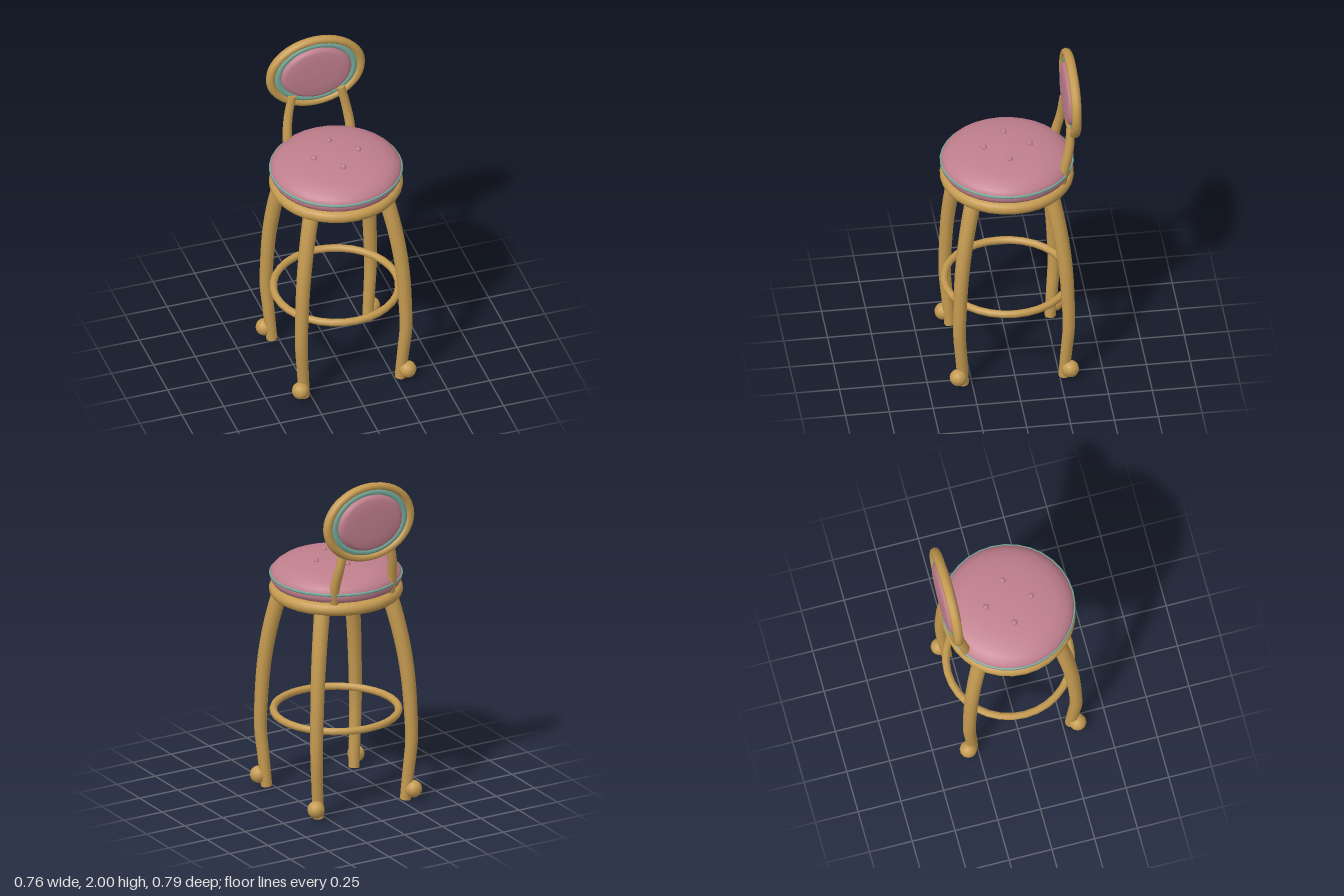
import * as THREE from 'three';

const mat = (name, color) => {
  const m = new THREE.MeshStandardMaterial({ color });
  m.name = name;
  return m;
};
const v2 = (list) => list.map(([x, y]) => new THREE.Vector2(x, y));

// Capped tube along a smooth path, its radius changing evenly from r0 to r1
function taperedTube(name, points, r0, r1, sides, material) {
  const curve = new THREE.CatmullRomCurve3(points.map((p) => new THREE.Vector3(...p)));
  const steps = 20;
  const geo = new THREE.TubeGeometry(curve, steps, 1, sides);
  const pos = geo.attributes.position;
  const p = new THREE.Vector3();
  for (let i = 0; i < pos.count; i++) {
    const t = Math.floor(i / (sides + 1)) / steps;
    const c = curve.getPointAt(t);
    p.fromBufferAttribute(pos, i).sub(c).multiplyScalar(r0 + (r1 - r0) * t).add(c);
    pos.setXYZ(i, p.x, p.y, p.z);
  }
  const group = new THREE.Group();
  group.name = name;
  group.add(new THREE.Mesh(geo, material));
  [[0, r0, -1], [1, r1, 1]].forEach(([t, r, dir]) => {
    const cap = new THREE.Mesh(new THREE.CircleGeometry(r, sides), material);
    cap.position.copy(curve.getPointAt(t));
    cap.lookAt(cap.position.clone().addScaledVector(curve.getTangentAt(t), dir));
    group.add(cap);
  });
  return group;
}

export function createModel() {
  const gold = mat('gold wood', 0xc49a50);
  const pink = mat('pink upholstery', 0xc07f8d);
  const teal = mat('teal piping', 0x76ab9c);

  const model = new THREE.Group();
  model.name = 'barStool';
  const add = (name, geo, material, x = 0, y = 0, z = 0, parent = model) => {
    const mesh = new THREE.Mesh(geo, material);
    mesh.name = name;
    mesh.position.set(x, y, z);
    parent.add(mesh);
    return mesh;
  };

  // Everything below the backrest is centred on the seat axis
  const base = new THREE.Group();
  base.name = 'seatAndLegs';
  base.position.z = 0.012;
  model.add(base);

  // Four bowed legs with ball feet, set on the diagonals
  for (let i = 0; i < 4; i++) {
    const leg = new THREE.Group();
    leg.name = 'leg' + (i + 1);
    leg.rotation.y = Math.PI / 4 + (i * Math.PI) / 2;
    leg.add(taperedTube('legPost', [
      [0.315, 1.225, 0], [0.352, 1.1, 0], [0.39, 0.94, 0], [0.42, 0.75, 0],
      [0.437, 0.52, 0], [0.441, 0.36, 0], [0.425, 0.2, 0], [0.405, 0.006, 0],
    ], 0.047, 0.032, 10, gold));
    add('ballFoot', new THREE.SphereGeometry(0.05, 12, 8), gold, 0.452, 0.07, 0, leg);
    base.add(leg);
  }

  // Footrest ring
  const ring = add('footRing', new THREE.TorusGeometry(0.355, 0.022, 8, 32), gold, 0, 0.51, 0, base);
  ring.rotation.x = Math.PI / 2;

  // Seat frame: a disc with a rounded rim
  const rim = [[0.345, 0]];
  for (let i = 0; i <= 8; i++) {
    const a = -Math.PI / 2 + (i * Math.PI) / 8;
    rim.push([0.345 + 0.035 * Math.cos(a), 0.037 + 0.037 * Math.sin(a)]);
  }
  add('seatFrameRim', new THREE.LatheGeometry(v2(rim.slice(1)), 32), gold, 0, 1.21, 0, base);
  [0.0, 0.074].forEach((h, i) => {
    const face = add(i ? 'seatFrameTop' : 'seatFrameUnderside',
      new THREE.CircleGeometry(0.346, 32), gold, 0, 1.21 + h, 0, base);
    face.rotation.x = i ? -Math.PI / 2 : Math.PI / 2;
  });

  // Seat cushion with piping and four tufting buttons
  add('seatCushion', new THREE.LatheGeometry(v2([
    [0, 1.283], [0.335, 1.283], [0.362, 1.295], [0.374, 1.318], [0.373, 1.345], [0.358, 1.37],
    [0.325, 1.395], [0.27, 1.415], [0.19, 1.429], [0.1, 1.435], [0, 1.437],
  ]), 32), pink, 0, 0, 0, base);
  const piping = add('seatPiping', new THREE.TorusGeometry(0.372, 0.008, 6, 32), teal, 0, 1.342, 0, base);
  piping.rotation.x = Math.PI / 2;
  for (let i = 0; i < 4; i++) {
    const a = (i * Math.PI) / 2;
    add('button' + (i + 1), new THREE.SphereGeometry(0.02, 6, 5), pink,
      0.131 * Math.cos(a), 1.433, 0.131 * Math.sin(a), base);
  }

  // Two curved posts carrying the backrest
  [-1, 1].forEach((s) => {
    model.add(taperedTube(s > 0 ? 'leftBackPost' : 'rightBackPost', [
      [s * 0.182, 1.285, -0.275], [s * 0.187, 1.38, -0.293],
      [s * 0.173, 1.5, -0.32], [s * 0.145, 1.635, -0.333],
    ], 0.03, 0.025, 8, gold));
  });

  // Oval backrest: frame, piping and a pad domed on both sides
  const back = new THREE.Group();
  back.name = 'backrest';
  back.position.set(0, 1.767, -0.351);
  back.scale.x = 1.27;
  model.add(back);
  const frame = add('backFrame', new THREE.TorusGeometry(0.2115, 0.0215, 8, 40), gold, 0, 0, 0, back);
  frame.scale.z = 1.3;
  add('backPiping', new THREE.TorusGeometry(0.178, 0.02, 8, 40), teal, 0, 0, 0, back);
  const pad = add('backPad', new THREE.LatheGeometry(v2([
    [0, -0.044], [0.09, -0.043], [0.14, -0.039], [0.158, -0.03], [0.166, -0.014],
    [0.166, 0.014], [0.158, 0.03], [0.14, 0.039], [0.09, 0.043], [0, 0.044],
  ]), 32), pink, 0, 0, 0, back);
  pad.rotation.x = Math.PI / 2;

  return model;
}
